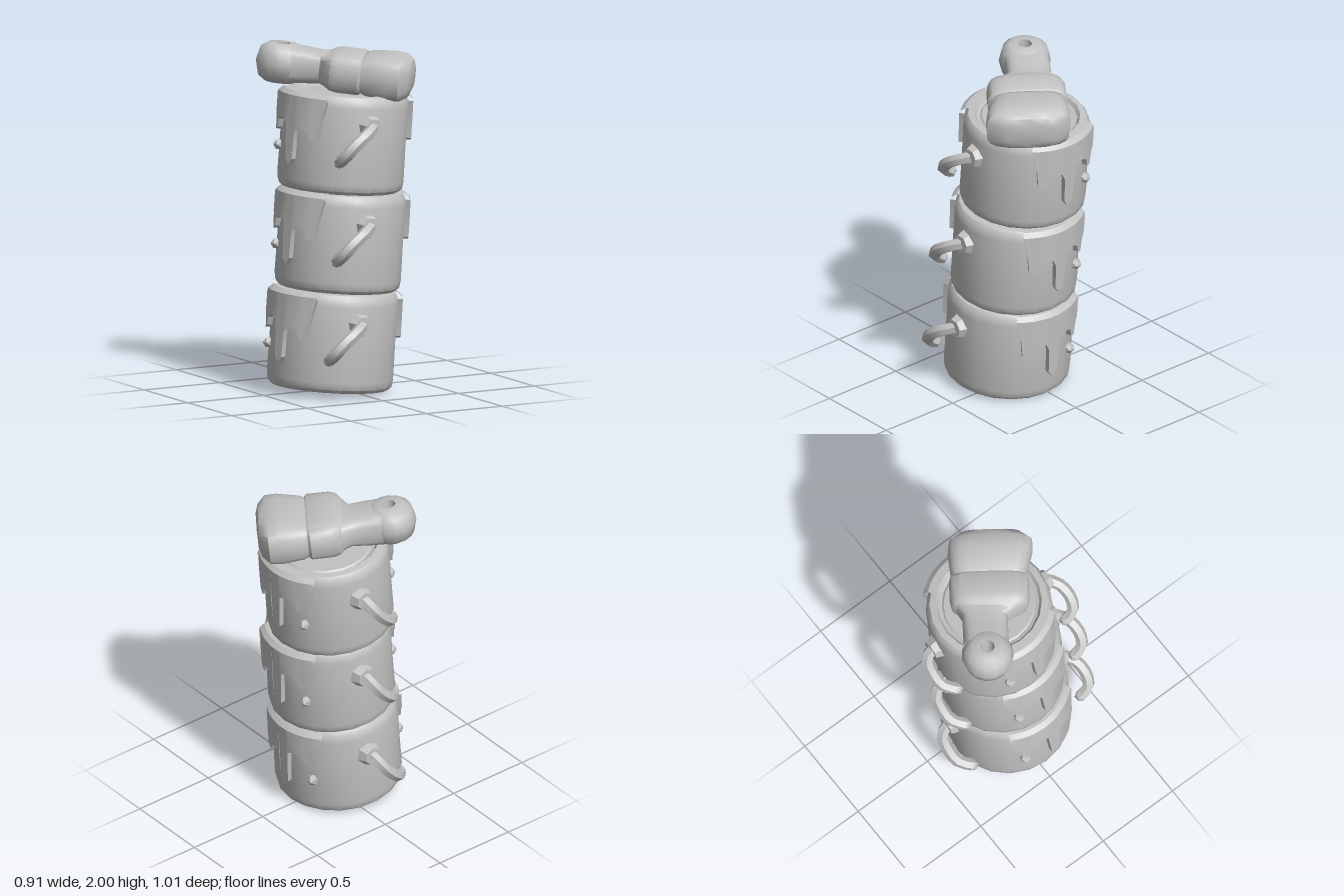
import * as THREE from 'three';
import { toCreasedNormals } from 'three/addons/utils/BufferGeometryUtils.js';

const metal = new THREE.MeshStandardMaterial({ color: 0xc2c2c2 });
metal.name = 'plain grey';

function mesh(name, geometry, crease = 0.7) {
  const m = new THREE.Mesh(toCreasedNormals(geometry, crease), metal);
  m.name = name;
  return m;
}

function quadGeometry(quads) {
  const pos = [];
  for (const [a, b, c, d] of quads) pos.push(...a, ...b, ...c, ...a, ...c, ...d);
  const g = new THREE.BufferGeometry();
  g.setAttribute('position', new THREE.Float32BufferAttribute(pos, 3));
  return g;
}

// Rounded-box cross-sections [x, half width, half height, z centre] joined along x
function loft(sections, sides = 20) {
  const power = (v) => Math.sign(v) * Math.pow(Math.abs(v), 0.55);
  const rings = sections.map(([x, w, h, z = -0.04]) => Array.from({ length: sides }, (_, j) => {
    const t = (j / sides) * Math.PI * 2;
    return [x, h * power(Math.sin(t)), z + w * power(Math.cos(t))];
  }));
  const quads = [];
  for (let i = 0; i < rings.length - 1; i++) {
    for (let j = 0; j < sides; j++) {
      const k = (j + 1) % sides;
      quads.push([rings[i][j], rings[i + 1][j], rings[i + 1][k], rings[i][k]]);
    }
  }
  return quadGeometry(quads);
}

// Paint running over the rim: [z, lower edge] pairs wrapped around the can
function paintRun() {
  const edge = [
    [0.215, 0.53], [0.19, 0.41], [0.18, 0.31], [0.14, 0.295], [0.115, 0.35], [0.05, 0.37],
    [0.03, 0.33], [0.025, 0.18], [0, 0.145], [-0.03, 0.175], [-0.045, 0.39], [-0.1, 0.41],
    [-0.14, 0.39], [-0.155, 0.34], [-0.185, 0.325], [-0.205, 0.4], [-0.23, 0.42], [-0.245, 0.53],
  ];
  const at = (z, r, y) => {
    const t = Math.asin(z / 0.37);
    return [r * Math.cos(t), y, r * Math.sin(t)];
  };
  const quads = [];
  for (let i = 0; i < edge.length - 1; i++) {
    const [z0, y0] = edge[i], [z1, y1] = edge[i + 1];
    const outer0 = at(z0, 0.39, y0), outer1 = at(z1, 0.39, y1);
    const rim0 = at(z0, 0.383, 0.545), rim1 = at(z1, 0.383, 0.545);
    const lip0 = at(z0, 0.355, 0.568), lip1 = at(z1, 0.355, 0.568);
    quads.push([rim0, outer0, outer1, rim1]);
    quads.push([outer0, at(z0, 0.34, y0), at(z1, 0.34, y1), outer1]);
    quads.push([rim0, rim1, lip1, lip0]);
    quads.push([lip0, lip1, at(z1, 0.31, 0.571), at(z0, 0.31, 0.571)]);
  }
  return quadGeometry(quads);
}

function paintSide(name) {
  const g = new THREE.Group();
  g.name = name;
  g.add(mesh('paintRun', paintRun(), 0.5));
  const drop = mesh('paintDroplet', new THREE.IcosahedronGeometry(0.034, 0), 0.1);
  drop.position.set(0.322, 0.235, -0.18);
  g.add(drop);
  return g;
}

// Hanging wire handle with its round lug
function handle(name, points) {
  const g = new THREE.Group();
  g.name = name;
  const path = points.map((p) => new THREE.Vector3(...p));
  const curve = new THREE.CatmullRomCurve3(path);
  g.add(mesh('handleWire', new THREE.TubeGeometry(curve, 8, 0.036, 6), 0.9));
  const tip = mesh('handleTip', new THREE.SphereGeometry(0.036, 6, 4), 0.9);
  tip.position.copy(path[path.length - 1]);
  const lug = mesh('handleLug', new THREE.CylinderGeometry(0.055, 0.085, 0.08, 7), 0.5);
  lug.rotation.x = Math.sign(path[0].z) * Math.PI / 2;
  lug.position.set(path[0].x, path[0].y, Math.sign(path[0].z) * 0.36);
  g.add(tip, lug);
  return g;
}

function paintCan(name) {
  const g = new THREE.Group();
  g.name = name;
  // Dished base, rounded wall, raised rim and sunken lid
  const profile = [
    [0, 0.045], [0.15, 0.04], [0.24, 0.03], [0.26, -0.002], [0.335, 0.0], [0.357, 0.02], [0.364, 0.06],
    [0.362, 0.3], [0.364, 0.5], [0.357, 0.542], [0.34, 0.564], [0.305, 0.569], [0.29, 0.548],
    [0.27, 0.543], [0.26, 0.552], [0, 0.552],
  ].map(([r, y]) => new THREE.Vector2(r, y));
  g.add(mesh('canBody', new THREE.LatheGeometry(profile, 20)));

  g.add(handle('frontHandle', [
    [-0.03, 0.4, 0.38], [-0.09, 0.37, 0.43], [-0.17, 0.31, 0.445], [-0.22, 0.24, 0.42], [-0.225, 0.2, 0.36],
  ]));
  g.add(handle('backHandle', [
    [0.04, 0.38, -0.38], [0.03, 0.35, -0.435], [-0.02, 0.27, -0.45], [-0.1, 0.19, -0.435], [-0.16, 0.15, -0.375],
  ]));

  g.add(paintSide('leftPaint'));
  const other = paintSide('rightPaint');
  other.scale.x = -1;
  other.rotation.y = 0.15;
  g.add(other);
  return g;
}

function paintBrush() {
  const g = new THREE.Group();
  g.name = 'paintBrush';
  // Rounded handle end with a five-sided hanging hole
  const end = [
    [0.036, -0.07], [0.04, -0.112], [0.09, -0.11], [0.13, -0.08], [0.15, 0],
    [0.13, 0.08], [0.09, 0.11], [0.04, 0.112], [0.036, 0.07], [0.036, -0.07],
  ].map(([r, y]) => new THREE.Vector2(r, y));
  const knob = mesh('handleEnd', new THREE.LatheGeometry(end, 15), 0.8);
  knob.position.set(-0.34, 0, -0.06);
  g.add(knob);
  g.add(mesh('brushHandle', loft([
    [-0.29, 0.001, 0.001, -0.065], [-0.29, 0.13, 0.105, -0.065], [-0.2, 0.13, 0.1, -0.068],
    [-0.11, 0.13, 0.09, -0.068], [-0.04, 0.2, 0.1],
  ])));
  g.add(mesh('ferrule', loft([
    [-0.1, 0.001, 0.001], [-0.1, 0.12, 0.08], [-0.04, 0.215, 0.11], [0.0, 0.228, 0.118],
    [0.125, 0.23, 0.118], [0.14, 0.215, 0.11], [0.14, 0.001, 0.001],
  ])));
  g.add(mesh('bristles', loft([
    [0.13, 0.001, 0.001], [0.13, 0.205, 0.1], [0.17, 0.22, 0.118], [0.3, 0.243, 0.13, -0.03],
    [0.365, 0.24, 0.125, -0.025], [0.41, 0.18, 0.1, -0.025], [0.425, 0.13, 0.06, -0.025],
    [0.428, 0.001, 0.001, -0.025],
  ])));
  g.position.set(0, 1.846, 0);
  g.rotation.set(0, -0.63, -0.1);
  return g;
}

export function createModel() {
  const model = new THREE.Group();
  model.name = 'paintCanStack';
  // Leaning stack of three cans
  const places = [
    ['bottomCan', -0.08, 0.028, 0.025],
    ['middleCan', -0.026, 0.598, 0.02],
    ['topCan', 0.012, 1.165, -0.015],
  ];
  for (const [name, x, y, z] of places) {
    const can = paintCan(name);
    can.position.set(x, y, z);
    can.rotation.z = -0.075;
    model.add(can);
  }
  model.add(paintBrush());
  return model;
}
